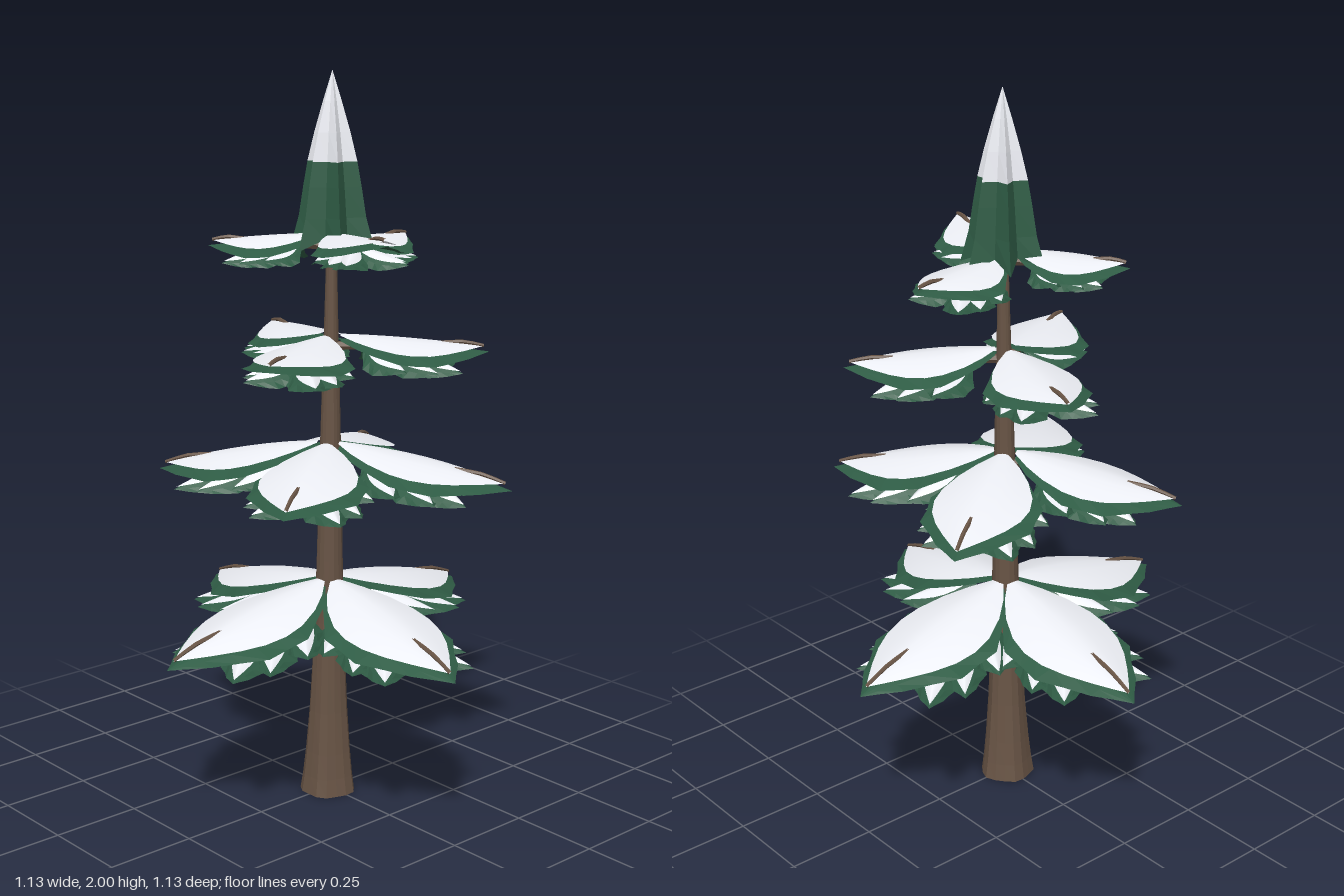
import * as THREE from 'three';

const GREEN = new THREE.MeshStandardMaterial({ color: 0x2f5c45, flatShading: true, side: THREE.DoubleSide });
const SNOW = new THREE.MeshStandardMaterial({ color: 0xeceef4, side: THREE.DoubleSide });
const BARK = new THREE.MeshStandardMaterial({ color: 0x685445, flatShading: true });

function mesh(name, geometry, material) {
  const m = new THREE.Mesh(geometry, material);
  m.name = name;
  return m;
}

// Surface from rows of points, all rows of equal length
function loft(rows) {
  const n = rows[0].length, index = [];
  for (let i = 0; i < rows.length - 1; i++) {
    for (let j = 0; j < n - 1; j++) {
      const a = i * n + j, b = a + n;
      index.push(a, b, a + 1, b, b + 1, a + 1);
    }
  }
  const g = new THREE.BufferGeometry();
  g.setAttribute('position', new THREE.Float32BufferAttribute(rows.flat(2), 3));
  g.setIndex(index);
  g.computeVertexNormals();
  return g;
}

// Leaf outline: [fraction of length, fraction of half width]
const OUTLINE = [[0, 0.12], [0.1, 0.45], [0.22, 0.74], [0.36, 0.95], [0.48, 1],
  [0.6, 0.92], [0.72, 0.72], [0.84, 0.44], [0.93, 0.2], [1, 0]];

// Height of a leaf's midrib below its root
const sag = (drop, u) => -drop * (0.45 * u + 0.55 * u * u);

// Folded, drooping leaf along +z; ragged leaves get a saw-toothed edge
function blade(length, half, drop, fold, ragged = 0) {
  return loft(OUTLINE.map(([u, w], i) => {
    const row = [];
    for (let j = -3; j <= 3; j++) {
      const v = j / 3, edge = Math.abs(v) === 1 ? 1 + ragged * (i % 2 ? 1 : -0.6) : 1;
      row.push([v * w * half * edge, sag(drop, u) - fold * w * Math.pow(Math.abs(v), 1.4), u * length]);
    }
    return row;
  }));
}

// Branch: twig, snow-topped main leaf and hanging side leaflets
function makeBranch(tipX, tipZ, rootY, tipY, half) {
  const branch = new THREE.Group();
  branch.name = 'branch';
  const start = 0.03, length = Math.hypot(tipX, tipZ) - start, drop = rootY - tipY;
  const fold = half * 0.25;

  const green = mesh('mainLeaf', blade(length, half * 1.18, drop, fold * 1.35, 0.06), GREEN);
  green.position.set(0, -0.011, start);
  const snow = mesh('leafSnow', blade(length * 0.96, half, drop * 0.94, fold), SNOW);
  snow.position.set(0, 0.002, start);
  branch.add(green, snow);

  // Side leaflets in mirrored pairs, hanging towards their tips
  for (const side of [-1, 1]) {
    for (const [u, deg, size] of [[0.18, 58, 0.45], [0.3, 46, 0.5], [0.42, 35, 0.48]]) {
      const leaflet = new THREE.Group();
      leaflet.name = 'leaflet';
      const len = length * size * (side > 0 ? 1.04 : 0.97), w = half * 0.46;
      leaflet.add(mesh('leafletGreen', blade(len, w, len * 0.18, w * 0.75, 0.1), GREEN));
      const cap = mesh('leafletSnow', blade(len * 0.96, w * 0.55, len * 0.17, w * 0.3), SNOW);
      cap.position.y = 0.003;
      leaflet.add(cap);
      leaflet.position.set(0, sag(drop, u) - 0.024, start + u * length);
      leaflet.rotation.set(0.08 + 0.9 * drop, side * THREE.MathUtils.degToRad(deg), 0, 'YXZ');
      branch.add(leaflet);
    }
  }

  // Twig runs below the leaf and breaks through near its tip
  const twigPoint = (u, lift) => new THREE.Vector3(0, lift + sag(drop, u), start + u * length);
  const curve = new THREE.CatmullRomCurve3([new THREE.Vector3(0, -0.03, 0), twigPoint(0.3, -0.024),
    twigPoint(0.68, -0.004), twigPoint(0.82, 0.006), twigPoint(0.96, 0.003)]);
  const twig = new THREE.TubeGeometry(curve, 14, 1, 6);
  const p = twig.attributes.position, c = new THREE.Vector3();
  for (let i = 0; i < p.count; i++) {
    const t = Math.floor(i / 7) / 14, r = 0.013 - 0.008 * t;
    curve.getPointAt(t, c);
    p.setXYZ(i, c.x + (p.getX(i) - c.x) * r, c.y + (p.getY(i) - c.y) * r, c.z + (p.getZ(i) - c.z) * r);
  }
  branch.add(mesh('twig', twig, BARK));

  branch.position.y = rootY;
  branch.rotation.y = Math.atan2(tipX, tipZ);
  return branch;
}

// Trunk: flared, slightly lobed at the foot
function makeTrunk() {
  const profile = [[0, 0], [0.076, 0], [0.069, 0.05], [0.062, 0.12], [0.053, 0.24], [0.047, 0.36], [0.041, 0.5],
    [0.036, 0.68], [0.031, 0.9], [0.026, 1.1], [0.02, 1.3], [0.015, 1.5], [0.012, 1.62]];
  const g = new THREE.LatheGeometry(profile.map(([r, y]) => new THREE.Vector2(r, y)), 16);
  const p = g.attributes.position;
  for (let i = 0; i < p.count; i++) {
    const y = p.getY(i), a = Math.atan2(p.getZ(i), p.getX(i));
    const k = 1 + 0.05 * Math.cos(5 * a + 2 * y) * Math.max(0.3, 1 - y);
    p.setXYZ(i, p.getX(i) * k - 0.003 + 0.008 * y, y, p.getZ(i) * k);
  }
  g.computeVertexNormals();
  return mesh('trunk', g, BARK);
}

// Six-pointed pleated cone; rows are [y, outer radius, inner radius]
function pleatedCone(rows) {
  return loft(rows.map(([y, outer, inner]) => {
    const ring = [];
    for (let k = 0; k <= 12; k++) {
      const a = -k * Math.PI / 6, r = k % 2 ? inner : outer;
      // Pleat tips hang lower than the valleys along the hem
      const hem = y < 1.6 && k % 2 ? 0.03 : 0;
      ring.push([r * Math.cos(a), y + hem, r * Math.sin(a)]);
    }
    return ring;
  }));
}

export function createModel() {
  const tree = new THREE.Group();
  tree.name = 'snowyTree';
  tree.add(makeTrunk());

  // Branches: tip x, tip z, root y, tip y, half width of the snow
  const tiers = [
    [[0.57, -0.08, 0.625, 0.5, 0.14], [0.05, -0.57, 0.625, 0.5, 0.14],
      [-0.56, 0, 0.625, 0.5, 0.14], [-0.07, 0.56, 0.625, 0.5, 0.14]],
    [[0.41, -0.28, 1.01, 0.915, 0.13], [-0.27, -0.41, 1.01, 0.915, 0.13],
      [-0.4, 0.28, 1.01, 0.93, 0.13], [0.28, 0.42, 1.01, 0.915, 0.13]],
    [[0.34, 0.27, 1.305, 1.265, 0.12], [-0.37, 0.18, 1.305, 1.285, 0.12], [0.13, -0.4, 1.305, 1.28, 0.115]],
    [[0.35, -0.06, 1.56, 1.545, 0.1], [-0.21, -0.25, 1.575, 1.55, 0.1], [-0.1, 0.33, 1.58, 1.59, 0.1]],
  ];
  tiers.forEach((tier, i) => {
    const group = new THREE.Group();
    group.name = 'branchTier' + (i + 1);
    tier.forEach((b) => group.add(makeBranch(...b)));
    tree.add(group);
  });

  // Crown: green pleats below, snow cap above
  const crown = new THREE.Group();
  crown.name = 'crown';
  crown.add(mesh('crownGreen', pleatedCone([[1.535, 0.118, 0.06], [1.62, 0.094, 0.055],
    [1.7, 0.081, 0.048], [1.765, 0.069, 0.041]]), GREEN));
  const capMaterial = SNOW.clone();
  capMaterial.flatShading = true;
  crown.add(mesh('crownSnow', pleatedCone([[1.765, 0.069, 0.041], [1.84, 0.05, 0.031],
    [1.92, 0.026, 0.017], [2, 0, 0]]), capMaterial));
  crown.position.x = 0.012;
  tree.add(crown);
  return tree;
}
